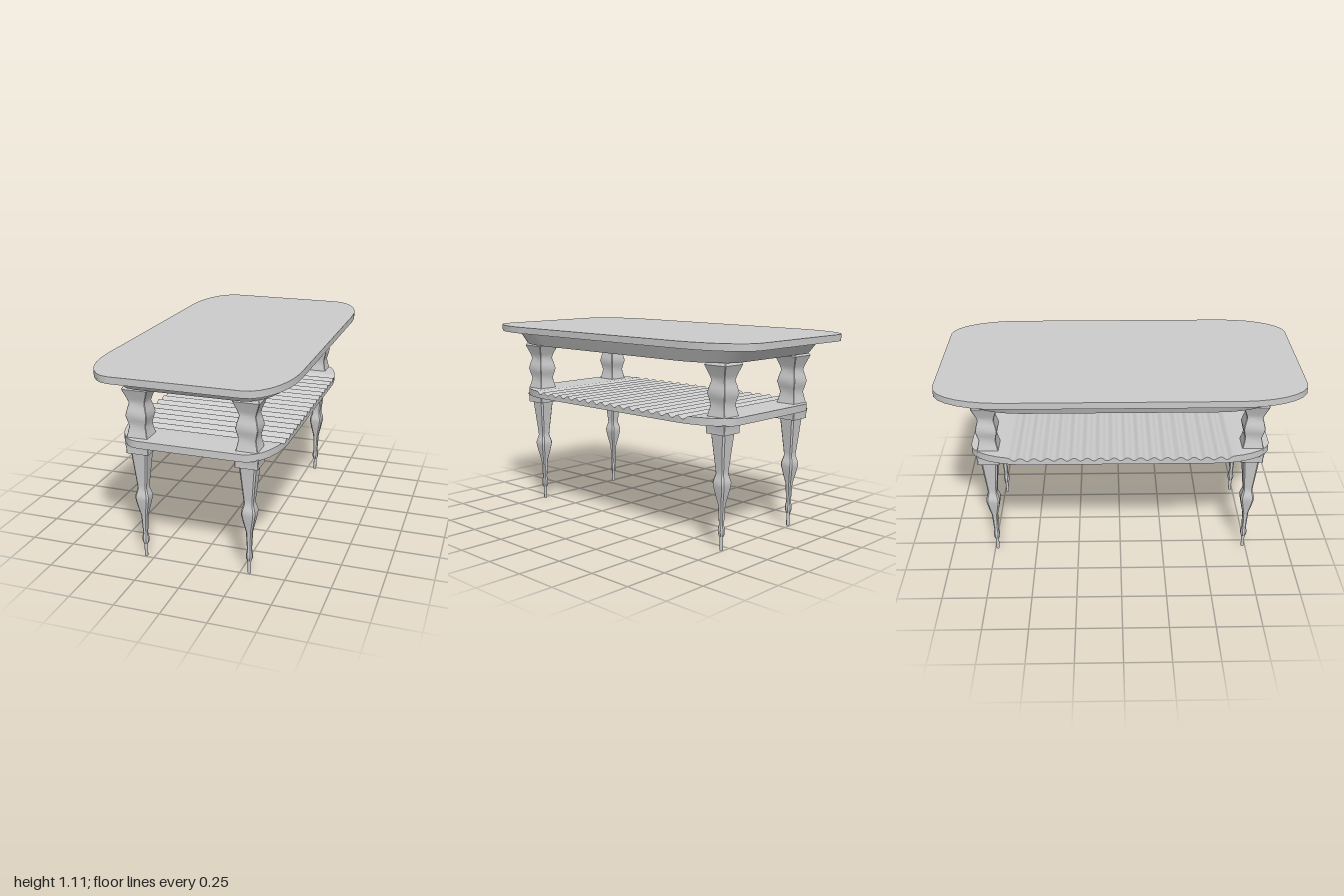
import * as THREE from 'three';
import { toCreasedNormals } from 'three/addons/utils/BufferGeometryUtils.js';

const material = new THREE.MeshStandardMaterial({ color: 0xcccccc });

// Skin a stack of equal-length rings and close both ends.
function loft(rings, crease = 0.6) {
  const n = rings[0].length;
  const index = [];
  for (let r = 0; r < rings.length - 1; r++) {
    for (let i = 0; i < n; i++) {
      const a = r * n + i, b = r * n + (i + 1) % n;
      index.push(a, a + n, b + n, a, b + n, b);
    }
  }
  const last = (rings.length - 1) * n;
  for (let i = 1; i < n - 1; i++) {
    index.push(0, i, i + 1, last, last + i + 1, last + i);
  }
  const geometry = new THREE.BufferGeometry();
  geometry.setAttribute('position', new THREE.Float32BufferAttribute(rings.flat(2), 3));
  geometry.setIndex(index);
  return toCreasedNormals(geometry, crease);
}

function addPart(parent, name, geometry) {
  const mesh = new THREE.Mesh(geometry, material);
  mesh.name = name;
  parent.add(mesh);
  return mesh;
}

// Rectangle outline with long elliptical corners, reaching hx and hz.
function slabRing(hx, hz, y) {
  const rx = hx * 0.36, rz = hz * 0.38, steps = 7;
  const ring = [];
  for (let q = 0; q < 4; q++) {
    const sx = q === 0 || q === 3 ? 1 : -1;
    const sz = q < 2 ? 1 : -1;
    for (let i = 0; i <= steps; i++) {
      const t = (q + i / steps) * Math.PI / 2;
      ring.push([sx * (hx - rx) + rx * Math.cos(t), y, sz * (hz - rz) + rz * Math.sin(t)]);
    }
  }
  return ring;
}

// Square of half width h with corners cut back by the fraction k.
function legRing([y, h, k]) {
  const c = h * (1 - k);
  return [[h, -c], [h, c], [c, h], [-c, h], [-h, c], [-h, -c], [-c, -h], [c, -h]]
    .map(([x, z]) => [x, y, z]);
}

// Shelf with cross ribs between flat ends, skinned along z.
function shelfGeometry() {
  const hx = 0.443, hz = 0.833, rx = hx * 0.36, rz = hz * 0.38;
  const waveEnd = 0.62, waves = 17, samples = 8;
  const stations = [];
  for (const deg of [90, 78, 66, 54, 42, 30, 20]) {
    stations.push([-(hz - rz + rz * Math.sin(deg * Math.PI / 180)), 0.72]);
  }
  const ends = stations.map(([z, y]) => [-z, y]).reverse();
  for (let i = 0; i <= waves * samples; i++) {
    const z = -waveEnd + 2 * waveEnd * i / (waves * samples);
    stations.push([z, 0.711 + 0.009 * Math.cos(2 * Math.PI * i / samples)]);
  }
  stations.push(...ends);
  return loft(stations.map(([z, top]) => {
    const s = Math.min(1, Math.max(0, (Math.abs(z) - hz + rz) / rz));
    const w = hx - rx + rx * Math.sqrt(1 - s * s);
    return [[w, top, z], [w, 0.68, z], [-w, 0.68, z], [-w, top, z]];
  }));
}

export function createModel() {
  const table = new THREE.Group();
  table.name = 'table';

  addPart(table, 'tabletop', loft([slabRing(0.532, 1, 1.075), slabRing(0.532, 1, 1.112)]));
  addPart(table, 'apron', loft([slabRing(0.443, 0.833, 1.0), slabRing(0.472, 0.888, 1.076)]));
  addPart(table, 'ribbedShelf', shelfGeometry());

  // Leg profiles: height, half width, corner cut
  const post = loft([
    [0.71, 0.061, 0.05], [0.745, 0.053, 0.05], [0.78, 0.046, 0.05], [0.81, 0.053, 0.05],
    [0.84, 0.06, 0.05], [0.872, 0.053, 0.05], [0.905, 0.044, 0.05], [0.93, 0.051, 0.05],
    [0.985, 0.072, 0.05], [1.003, 0.061, 0.05],
  ].map(legRing));
  const collar = loft([
    [0.63, 0.062, 0.05], [0.655, 0.062, 0.05], [0.685, 0.066, 0.05],
  ].map(legRing));
  const lower = loft([
    [0.075, 0.011, 0.586], [0.088, 0.016, 0.586], [0.105, 0.018, 0.586], [0.122, 0.016, 0.5],
    [0.14, 0.012, 0.5], [0.25, 0.017, 0.4], [0.3, 0.028, 0.3], [0.348, 0.037, 0.25],
    [0.37, 0.039, 0.25], [0.388, 0.034, 0.25], [0.415, 0.026, 0.25], [0.44, 0.028, 0.25],
    [0.635, 0.047, 0.2],
  ].map(legRing));
  const foot = new THREE.CylinderGeometry(0.01, 0.009, 0.08, 12);
  foot.translate(0, 0.04, 0);

  for (const sx of [1, -1]) {
    for (const sz of [1, -1]) {
      const leg = new THREE.Group();
      leg.name = `${sz > 0 ? 'front' : 'back'}${sx > 0 ? 'Left' : 'Right'}Leg`;
      leg.position.set(sx * 0.3, 0, sz * 0.735);
      addPart(leg, 'upperPost', post);
      addPart(leg, 'collar', collar);
      addPart(leg, 'lowerLeg', lower);
      addPart(leg, 'foot', foot);
      table.add(leg);
    }
  }
  return table;
}
